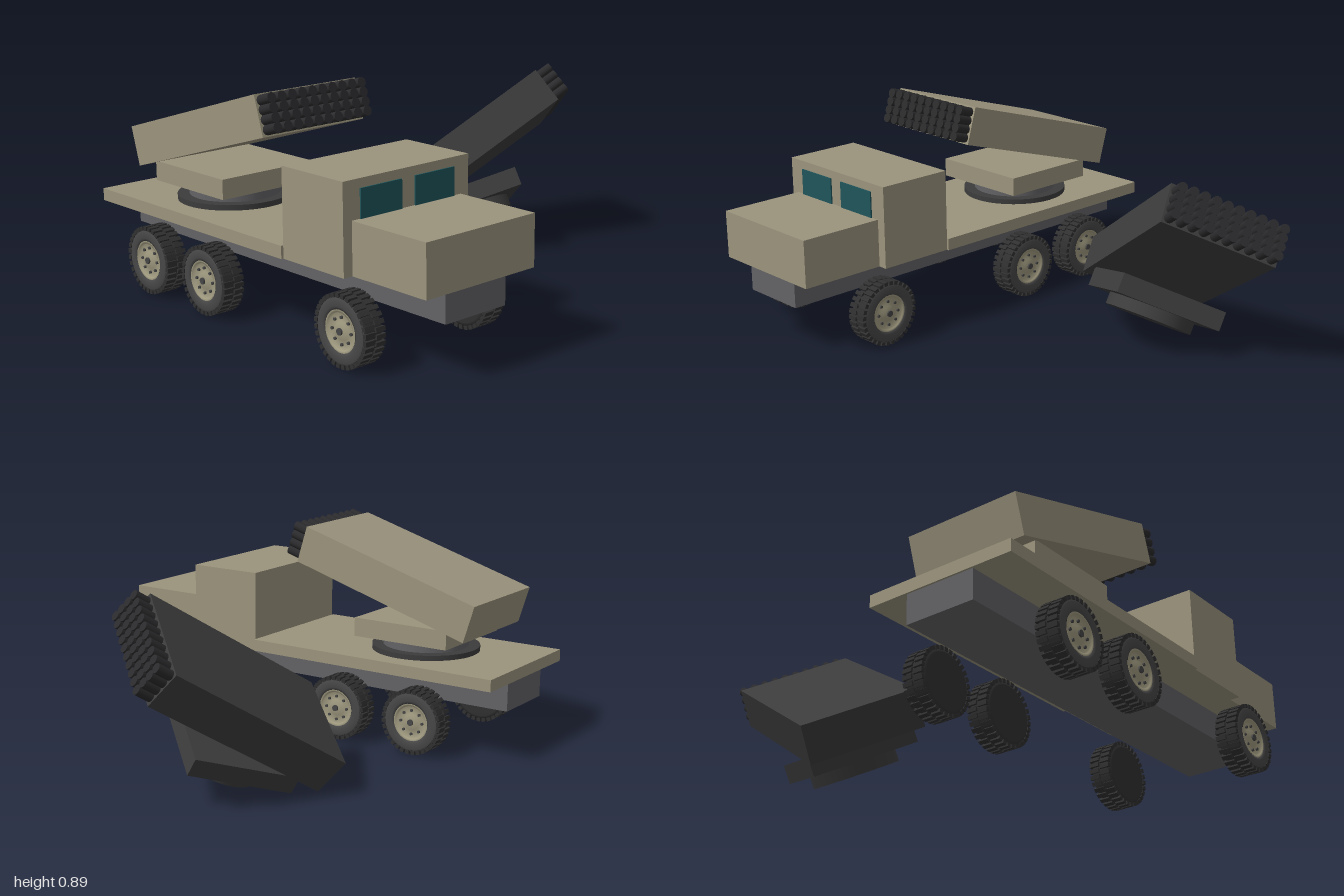
import * as THREE from 'three';
import { mergeGeometries } from 'three/addons/utils/BufferGeometryUtils.js';

const paint = (name, color) => {
  const m = new THREE.MeshStandardMaterial({ color });
  m.name = name;
  return m;
};

export function createModel() {
  const olive = paint('olive', 0x9b947d);
  const steel = paint('chassisGrey', 0x636366);
  const dark = paint('darkGrey', 0x3c3c3c);
  const black = paint('tubeBlack', 0x2b2b2d);
  const rubber = paint('rubber', 0x303031);
  const sidewall = paint('sidewallGrey', 0x474747);
  const hubPaint = paint('hubBeige', 0x9f997f);
  const glass = paint('glassTeal', 0x1f555b);

  const model = new THREE.Group();
  model.name = 'rocketTruck';
  const truckX = -0.655;

  const add = (parent, name, geometry, material, x = 0, y = 0, z = 0) => {
    const mesh = new THREE.Mesh(geometry, material);
    mesh.name = name;
    mesh.position.set(x, y, z);
    parent.add(mesh);
    return mesh;
  };
  // box given by its width and its y and z ranges, centred on x
  const block = (parent, name, material, w, y0, y1, z0, z1, x = 0) =>
    add(parent, name, new THREE.BoxGeometry(w, y1 - y0, z1 - z0), material,
      x, (y0 + y1) / 2, (z0 + z1) / 2);

  // Truck body
  const truck = new THREE.Group();
  truck.name = 'truck';
  truck.position.x = truckX;
  model.add(truck);
  block(truck, 'chassis', steel, 0.295, 0.2, 0.32, -0.92, 0.9);
  block(truck, 'bed', olive, 0.63, 0.32, 0.37, -0.928, 0.23);
  block(truck, 'cab', olive, 0.61, 0.32, 0.665, 0.23, 0.56);
  block(truck, 'hood', olive, 0.53, 0.32, 0.52, 0.56, 0.928);
  for (const s of [-1, 1])
    block(truck, 'windscreen', glass, 0.195, 0.52, 0.63, 0.559, 0.566, s * 0.13);

  // Wheel parts, with the outer side facing +x
  const R = 0.137, halfW = 0.047;
  const xLathe = (points, sides = 40) =>
    new THREE.LatheGeometry(points.map(([r, x]) => new THREE.Vector2(r, x)), sides)
      .rotateZ(-Math.PI / 2);
  const xDisc = (r, depth, x, sides = 24) =>
    new THREE.CylinderGeometry(r, r, depth, sides).rotateZ(-Math.PI / 2).translate(x, 0, 0);

  const carcass = xLathe([[0, -halfW], [0.11, -halfW], [0.122, -0.042], [0.129, -0.032],
    [0.129, 0.032], [0.122, 0.042], [0.12, 0.044]]);
  const sideRing = xLathe([[0.124, 0.041], [0.115, 0.047], [0.09, 0.048], [0.078, 0.042], [0.075, 0.03]]);
  const lugs = [];
  for (let i = 0; i < 32; i++) {
    for (const s of [-1, 1]) {
      const lug = new THREE.BoxGeometry(0.043, 0.016, 0.017);
      lug.translate(s * 0.0245, R - 0.008, 0);
      lug.rotateX(((i + (s > 0 ? 0.5 : 0)) / 32) * Math.PI * 2);
      lugs.push(lug);
    }
  }
  const treads = mergeGeometries(lugs);
  const hubFace = xLathe([[0.079, 0.044], [0.07, 0.045], [0.066, 0.034], [0.035, 0.034],
    [0.031, 0.044], [0, 0.044]], 32);
  const bolts = [];
  for (let i = 0; i < 8; i++)
    bolts.push(xDisc(0.006, 0.008, 0.037, 8).translate(0, 0.05, 0).rotateX(i * Math.PI / 4));
  const boltRing = mergeGeometries(bolts);
  const cap = xDisc(0.013, 0.01, 0.046);

  const makeWheel = (x, z, outward) => {
    const wheel = new THREE.Group();
    wheel.name = 'wheel';
    wheel.position.set(x, 0.1415, z);
    wheel.rotation.y = outward > 0 ? 0 : Math.PI;
    add(wheel, 'tire', carcass, rubber);
    add(wheel, 'tread', treads, rubber);
    const ring = add(wheel, 'sidewall', sideRing, sidewall);
    ring.material.side = THREE.DoubleSide;
    const hub = add(wheel, 'hub', hubFace, hubPaint);
    hub.material.side = THREE.DoubleSide;
    add(wheel, 'bolts', boltRing, sidewall);
    add(wheel, 'hubCap', cap, sidewall);
    truck.add(wheel);
  };
  rubber.side = THREE.DoubleSide;
  for (const z of [0.578, -0.217, -0.583])
    for (const s of [-1, 1]) makeWheel(s * 0.297, z, s);

  // Launcher tubes: ten columns by four rows
  const tubes = [];
  for (let c = 0; c < 10; c++)
    for (let r = 0; r < 4; r++)
      tubes.push(new THREE.CylinderGeometry(0.02, 0.02, 0.1, 14).rotateX(Math.PI / 2)
        .translate((c - 4.5) * 0.0485, (r - 1.5) * 0.037, 0.44));
  const tubeBank = mergeGeometries(tubes);

  // Launcher with its origin at the bottom of the turning post
  const makeLauncher = (name, body, post) => {
    const launcher = new THREE.Group();
    launcher.name = name;
    add(launcher, 'turningPost', new THREE.CylinderGeometry(0.183, 0.183, 0.05, 40), post, 0, 0.025, 0);
    block(launcher, 'mount', body, 0.45, 0.05, 0.13, -0.22, 0.22);
    const pod = new THREE.Group();
    pod.name = 'pod';
    pod.position.set(0, 0.2975, 0.074);
    pod.rotation.x = -0.293;
    add(pod, 'podBox', new THREE.BoxGeometry(0.49, 0.162, 0.847), body);
    add(pod, 'tubes', tubeBank, black);
    launcher.add(pod);
    model.add(launcher);
    return launcher;
  };

  // Mounted launcher on its dark base ring
  add(truck, 'baseRing', new THREE.CylinderGeometry(0.23, 0.23, 0.024, 40), dark, 0, 0.38, -0.452);
  makeLauncher('mountedLauncher', olive, steel).position.set(truckX, 0.385, -0.452);

  // Loose dark launcher, tipped and turned beside the truck
  const loose = makeLauncher('looseLauncher', dark, dark);
  loose.position.set(0.422, 0.115, -0.17);
  loose.rotation.set(-Math.PI / 6, 0.963, 0);

  return model;
}
